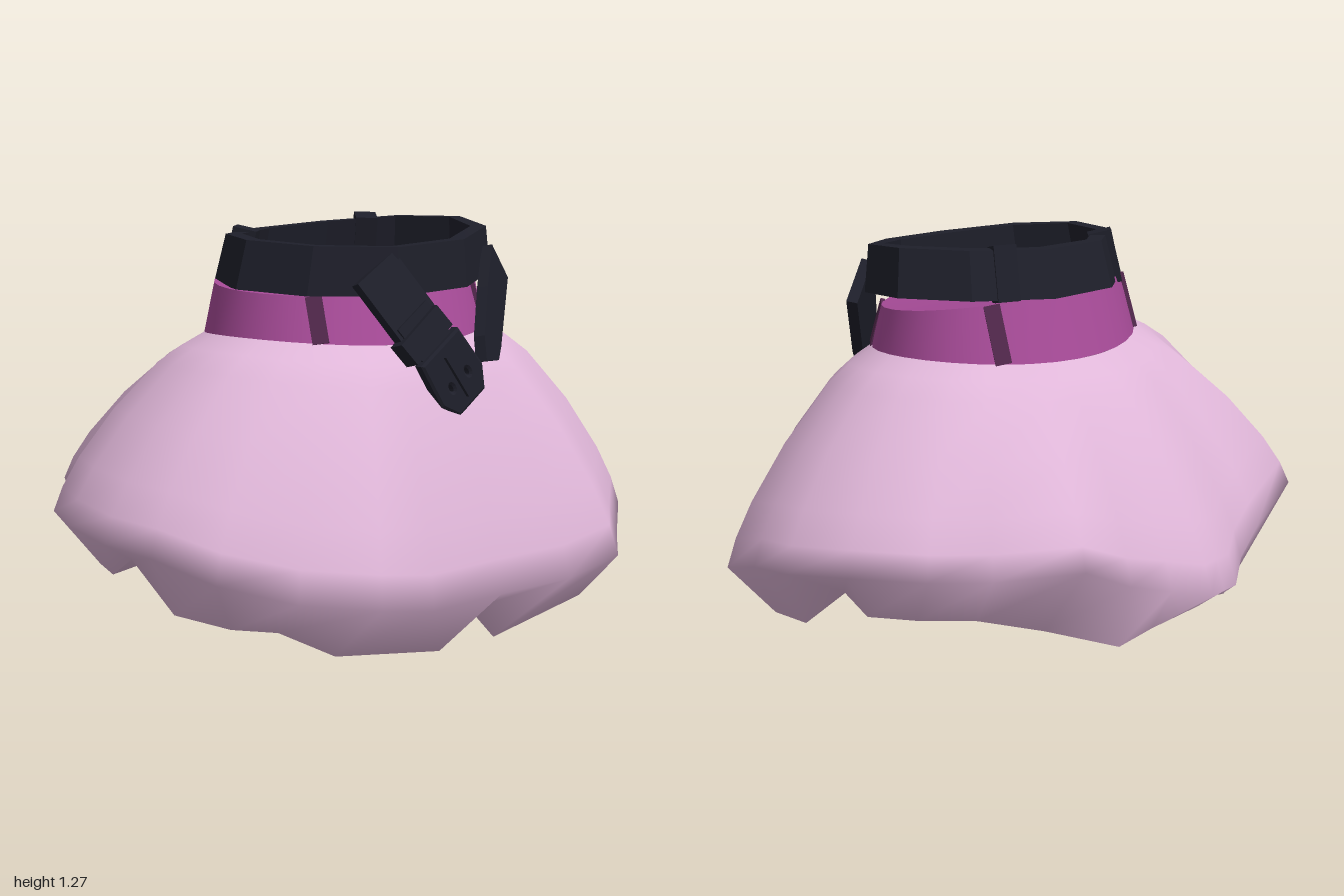
import * as THREE from 'three';
import { toCreasedNormals } from 'three/addons/utils/BufferGeometryUtils.js';

const V = (x, y, z) => new THREE.Vector3(x, y, z);
const material = (name, color) => {
  const m = new THREE.MeshStandardMaterial({ color, side: THREE.DoubleSide });
  m.name = name;
  return m;
};

// Closed surface through equal-length rings, listed from top to bottom
function loft(rings) {
  const n = rings[0].length, pos = [], index = [];
  rings.forEach(r => r.forEach(p => pos.push(p.x, p.y, p.z)));
  for (let i = 0; i < rings.length - 1; i++) {
    for (let j = 0; j < n; j++) {
      const k = (j + 1) % n, u = i * n, l = u + n;
      index.push(l + j, l + k, u + k, l + j, u + k, u + j);
    }
  }
  const g = new THREE.BufferGeometry();
  g.setAttribute('position', new THREE.Float32BufferAttribute(pos, 3));
  g.setIndex(index);
  g.computeVertexNormals();
  return g;
}

const flip = p => V(-p.x, p.y, p.z);
const mirrorRing = half => [...half, ...half.slice(1, -1).reverse().map(flip)];
const outline = points => new THREE.Shape(points.map(p => new THREE.Vector2(...p)));

// Half outlines from front centre round the left side to back centre
const WIDEST = [
  [0, .18, .73], [.3, .18, .74], [.52, .22, .75], [.7, .24, .6], [.88, .3, .46],
  [.96, .36, .27], [1, .38, .11], [.97, .4, -.1], [.87, .4, -.31], [.71, .38, -.42],
  [.58, .42, -.65], [.36, .32, -.66], [.2, .27, -.7], [.07, .23, -.76], [0, .23, -.76],
].map(p => V(...p));
const HEM = [
  [0, .11, .6], [.12, 0, .59], [.54, .06, .58], [.66, .13, .47], [.76, .14, .38],
  [.82, .16, .2], [.84, .3, .03], [.84, .24, -.06], [.78, .24, -.2], [.68, .24, -.34],
  [.5, .18, -.45], [.3, .1, -.58], [.2, .14, -.63], [.07, .19, -.71], [0, .21, -.73],
].map(p => V(...p));
const CROTCH = [[0, .21, -.5], [0, .21, -.25], [0, .21, 0], [0, .2, .15], [0, .15, .42]].map(p => V(...p));

// Waistband bottom and top edges at an angle from the front
const waistLow = a => V(.5 * Math.sin(a), .905 + .03 * Math.sin(a) ** 2, .065 + .36 * Math.cos(a));
const waistTop = a => V(.49 * Math.sin(a), 1.075 - .025 * Math.cos(a), .07 + .295 * Math.cos(a));

// Group whose y axis runs from a to b and whose z axis faces the given normal
function frame(a, b, normal) {
  const y = b.clone().sub(a).normalize();
  const z = normal.clone().addScaledVector(y, -normal.dot(y)).normalize();
  const x = y.clone().cross(z);
  const g = new THREE.Group();
  g.quaternion.setFromRotationMatrix(new THREE.Matrix4().makeBasis(x, y, z));
  g.position.copy(a).add(b).multiplyScalar(.5);
  return g;
}

export function createModel() {
  const model = new THREE.Group();
  const pink = material('pink cloth', 0xdfb6d8);
  const purple = material('purple waistband', 0xa54a96);
  const plum = material('dark plum loops', 0x54294e);
  const black = material('black leather', 0x1e1f2a);
  const add = (name, geometry, mat, parent = model) => {
    const m = new THREE.Mesh(geometry, mat);
    m.name = name;
    parent.add(m);
    return m;
  };
  const strap = (name, a, b, width, thick, normal, mat) => {
    const g = frame(a, b, normal);
    add(name, new THREE.BoxGeometry(width, a.distanceTo(b), thick), mat, g);
    model.add(g);
  };

  // Puffed cloth from the waist out to the widest outline, then in to the hem
  const angles = WIDEST.map(p => Math.atan2(p.x, p.z / .75));
  const puff = [[0, 0], [.16, .07], [.31, .16], [.6, .42], [.83, .69], [.94, .86], [1, 1]];
  const rings = puff.map(([out, down]) => mirrorRing(WIDEST.map((p, i) => {
    const w = waistLow(angles[i]);
    return V(w.x + (p.x - w.x) * out, w.y + (p.y - w.y) * down, w.z + (p.z - w.z) * out);
  })));
  add('puffedCloth', loft([...rings, mirrorRing(HEM)]), pink);

  // Undersides rising from the hem and crotch ridge to the leg openings
  const outer = [...HEM, ...CROTCH];
  const opening = outer.map(p => {
    const a = Math.atan2(p.x - .32, p.z - .02);
    return V(.32 + .25 * Math.sin(a), .29, .02 + .3 * Math.cos(a));
  });
  const under = [outer, opening];
  add('leftLegUnderside', toCreasedNormals(loft(under), .6), pink);
  add('rightLegUnderside', toCreasedNormals(loft(under.map(r => r.map(flip).reverse())), .6), pink);

  // Waistband with a closed top
  const round = Array.from({ length: 32 }, (_, i) => i * Math.PI / 16);
  add('waistband', loft([round.map(waistTop), round.map(waistLow)]), purple);
  add('waistTop', loft([round.map(() => V(0, 1.06, .07)), round.map(waistTop)]), purple);

  // Cloth loops on the waistband
  for (const a of [.78, -.78, Math.PI - .78, Math.PI + .78]) {
    strap('waistLoop', waistLow(a), waistTop(a), .05, .014, V(Math.sin(a), .3, Math.cos(a)), plum);
  }

  // Tilted belt ring with flat facets, arched at the sides
  const beltPoint = (a, scale, inset, h) => V(
    (.49 * scale - inset) * Math.sin(a),
    1.145 - .015 * Math.cos(a) + .017 * Math.sin(a) + .02 * Math.sin(a) ** 2 + h,
    .1 + (1 - scale) * .25 + (.355 * scale - inset) * Math.cos(a));
  const facets = Array.from({ length: 10 }, (_, i) => (i + .5) * Math.PI / 5);
  const beltRing = (s, inset, h) => facets.map(a => beltPoint(a, s, inset, h));
  const inside = beltRing(1, .055, -.073);
  add('belt', toCreasedNormals(loft([
    inside, beltRing(.94, .05, .073), beltRing(.94, 0, .073), beltRing(1, 0, -.073), inside,
  ]), .3), black);

  // Keepers round the back of the belt
  for (const a of [Math.PI - .66, Math.PI + .66]) {
    strap('beltKeeper', beltPoint(a, .98, .03, -.083), beltPoint(a, .92, .03, .083),
      .07, .075, V(Math.sin(a), 0, Math.cos(a)), black);
  }

  // Buckle end of the belt, hanging across the front
  const front = V(-.1, .1, 1);
  strap('buckleStrapUpper', V(-.22, 1.14, .405), V(-.11, .96, .485), .17, .035, front, black);
  strap('buckleStrapLower', V(-.14, 1, .475), V(-.05, .87, .525), .14, .035, front, black);
  strap('strapKeeper', V(-.135, .97, .49), V(-.09, .91, .513), .18, .06, front, black);

  // Buckle frame with two holes and a prong
  const buckle = frame(V(-.075, .905, .53), V(.045, .735, .55), V(-.1, .1, 1));
  const plateShape = outline([
    [-.085, -.1], [.085, -.1], [.095, .04], [.06, .1], [-.06, .1], [-.095, .04],
  ]);
  for (const x of [-.04, .04]) {
    const hole = new THREE.Path();
    hole.absellipse(x, .02, .016, .022, 0, Math.PI * 2, true);
    plateShape.holes.push(hole);
  }
  const plate = new THREE.ExtrudeGeometry(plateShape, {
    depth: .025, bevelEnabled: true, bevelSize: .008, bevelThickness: .006, bevelSegments: 1, curveSegments: 6,
  });
  add('buckleFrame', plate, black, buckle).position.z = -.015;
  add('buckleProng', new THREE.BoxGeometry(.022, .15, .015), black, buckle).position.z = .02;
  model.add(buckle);

  // Free end of the belt, widening upwards, with a slanted tip
  const tail = frame(V(.4, 1.12, .33), V(.17, .83, .5), V(.4, .1, 1));
  const tip = outline([
    [-.075, -.2], [-.075, .08], [-.066, .14], [.034, .218], [.074, .15], [.09, -.03], [.09, -.2],
  ].reverse());
  add('beltTail', new THREE.ExtrudeGeometry(tip, { depth: .035, bevelEnabled: false }), black, tail).position.z = -.018;
  model.add(tail);

  return model;
}
